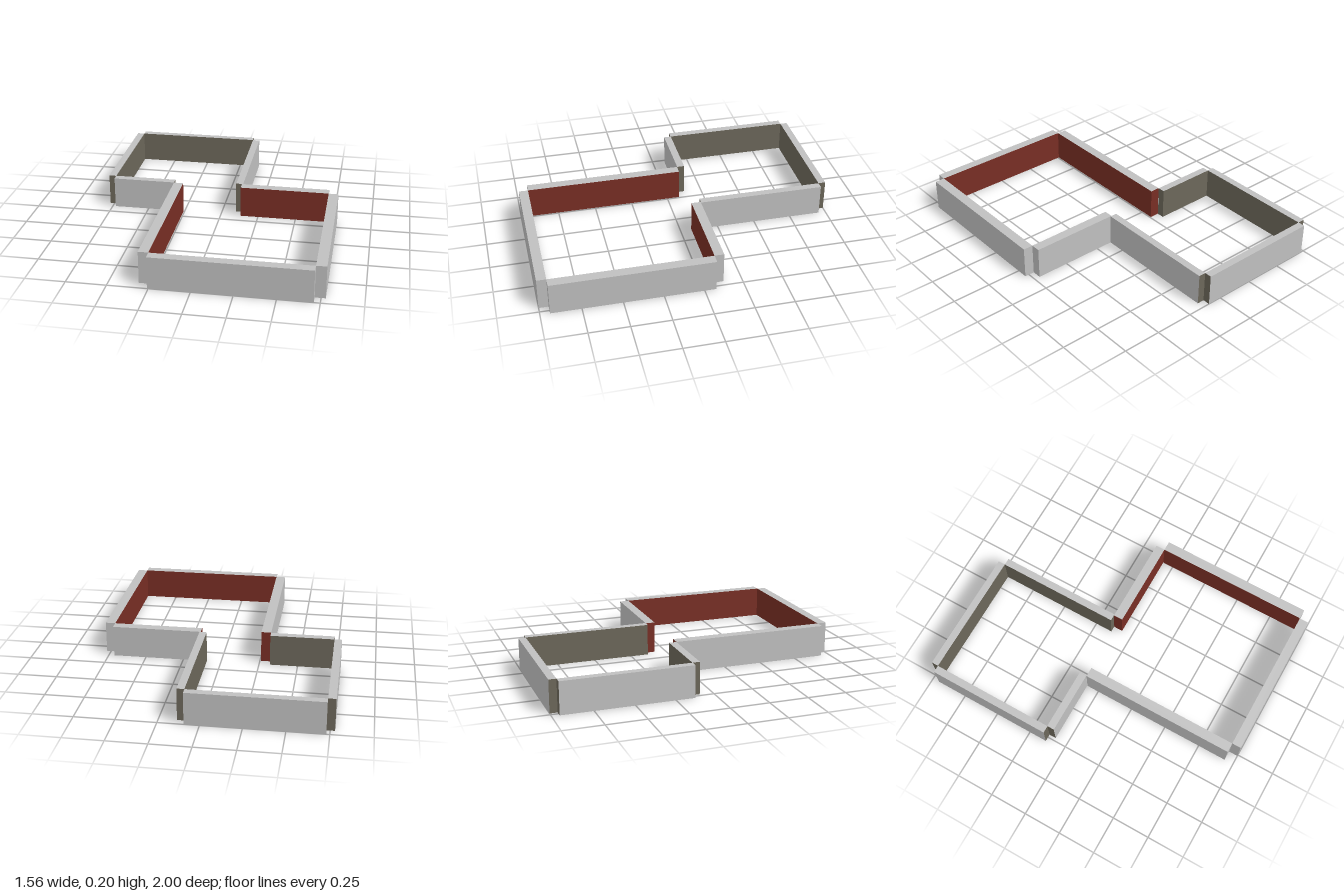
import * as THREE from 'three';

const HEIGHT = 0.205;

function makeMaterial(name, color) {
  const material = new THREE.MeshStandardMaterial({ color });
  material.name = name;
  return material;
}

export function createModel() {
  const model = new THREE.Group();
  model.name = 'twoRoomWalls';

  const grey = makeMaterial('outerGrey', 0xc0c0c0);
  const tan = makeMaterial('innerTaupe', 0x6c675a);
  const red = makeMaterial('innerRed', 0x782e24);

  // One straight wall; faces are coloured in the order +x, -x, top, bottom, +z, -z
  function addWall(room, name, [x0, x1], [z0, z1], faces) {
    const wall = new THREE.Mesh(new THREE.BoxGeometry(x1 - x0, HEIGHT, z1 - z0), faces);
    wall.position.set((x0 + x1) / 2, HEIGHT / 2, (z0 + z1) / 2);
    wall.name = name;
    room.add(wall);
  }

  // Back room: grey outside and on top, taupe inside, at the ends and below
  const backRoom = new THREE.Group();
  backRoom.name = 'backRoom';
  addWall(backRoom, 'backRoomBackWall', [-0.73, 0.093], [-1, -0.953], [tan, tan, grey, tan, tan, grey]);
  addWall(backRoom, 'backRoomRightWall', [-0.778, -0.73], [-0.953, -0.13], [tan, grey, grey, tan, tan, tan]);
  addWall(backRoom, 'backRoomLeftWall', [0.093, 0.14], [-0.953, -0.135], [grey, tan, grey, tan, tan, tan]);
  addWall(backRoom, 'backRoomFrontWall', [-0.73, -0.32], [-0.132, -0.084], [tan, tan, grey, tan, grey, tan]);

  // Front room: grey outside, red inside, with red ends at the doorway
  const frontRoom = new THREE.Group();
  frontRoom.name = 'frontRoom';
  addWall(frontRoom, 'frontRoomFrontWall', [-0.257, 0.713], [0.94, 1], [grey, grey, grey, grey, grey, red]);
  addWall(frontRoom, 'frontRoomRightWall', [-0.32, -0.257], [-0.082, 0.94], [red, grey, grey, grey, grey, red]);
  addWall(frontRoom, 'frontRoomLeftWall', [0.713, 0.777], [-0.073, 0.94], [grey, red, grey, grey, grey, grey]);
  addWall(frontRoom, 'frontRoomBackWall', [0.132, 0.713], [-0.134, -0.073], [grey, red, grey, grey, red, grey]);

  model.add(backRoom, frontRoom);
  return model;
}
